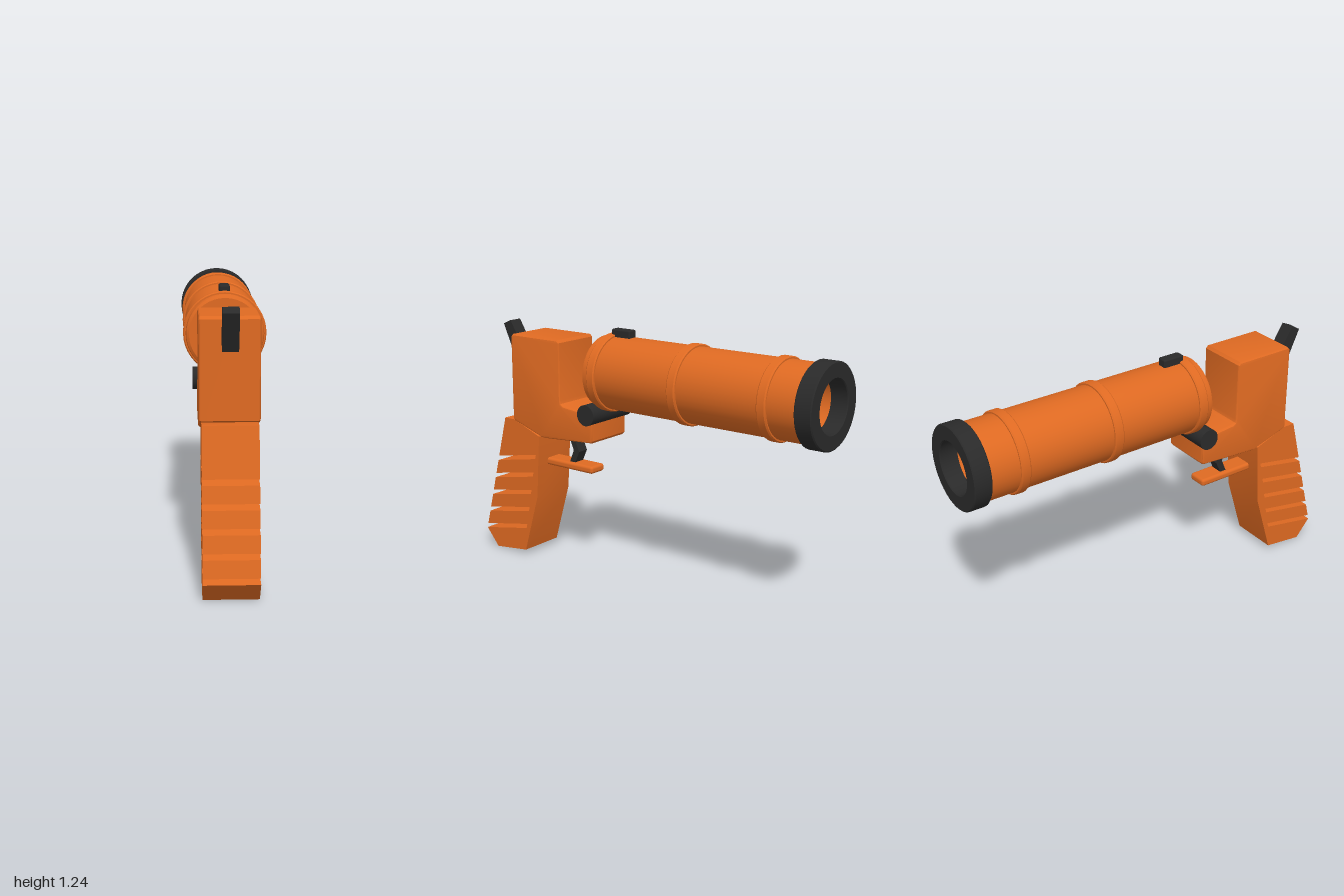
import * as THREE from 'three';
import { toCreasedNormals } from 'three/addons/utils/BufferGeometryUtils.js';
import { RoundedBoxGeometry } from 'three/addons/geometries/RoundedBoxGeometry.js';

const orange = new THREE.MeshStandardMaterial({ color: 0xdf6a22 });
orange.name = 'orange plastic';
const black = new THREE.MeshStandardMaterial({ color: 0x2a2a2a });
black.name = 'black plastic';

const BARREL_Y = 1.03;

// Side profile given as [z, y] points, extruded across x and centred
function sideExtrude(points, width, bevel = 0) {
  const shape = new THREE.Shape(points.map(([z, y]) => new THREE.Vector2(z, y)));
  const depth = width - 2 * bevel;
  const geo = new THREE.ExtrudeGeometry(shape, {
    depth, bevelEnabled: bevel > 0, bevelThickness: bevel,
    bevelSize: bevel, bevelOffset: -bevel, bevelSegments: 3,
  });
  geo.translate(0, 0, -depth / 2);
  geo.rotateY(-Math.PI / 2);
  return toCreasedNormals(geo, 0.5);
}

// Profile given as [radius, z] points, turned around the barrel axis
function turned(points) {
  const geo = new THREE.LatheGeometry(points.map(([r, z]) => new THREE.Vector2(r, z)), 40);
  geo.rotateX(Math.PI / 2);
  geo.translate(0, BARREL_Y, 0);
  return toCreasedNormals(geo, 0.5);
}

export function createModel() {
  const model = new THREE.Group();
  model.name = 'flareGun';
  const add = (name, geo, material) => {
    const mesh = new THREE.Mesh(geo, material);
    mesh.name = name;
    model.add(mesh);
    return mesh;
  };

  // Barrel: deep bore at the muzzle, shallow recess at the breech
  add('barrel', turned([
    [0, 0.2], [0.13, 0.2], [0.13, -0.95], [0.18, -0.95],
    [0.18, 0.25], [0.177, 0.262], [0.165, 0.27],
    [0.13, 0.27], [0.13, 0.25], [0, 0.25],
  ]), orange);

  // Raised bands around the barrel
  for (const z of [0.207, -0.268, -0.748]) {
    const h = 0.024;
    add('barrelBand', turned([
      [0.175, z - h], [0.187, z - h], [0.192, z - h + 0.006],
      [0.192, z + h - 0.006], [0.187, z + h], [0.175, z + h],
    ]), orange);
  }

  // Muzzle ring
  add('muzzleRing', turned([
    [0.122, -0.915], [0.122, -0.996], [0.126, -1], [0.192, -1],
    [0.197, -0.995], [0.197, -0.92], [0.192, -0.915], [0.122, -0.915],
  ]), black);

  // Sight on top of the barrel
  const sight = add('sight', new RoundedBoxGeometry(0.05, 0.06, 0.112, 2, 0.008), black);
  sight.position.set(0, 1.216, 0.15);

  // Body with a notch for the breech
  add('body', sideExtrude([
    [0.78, 0.735], [0.78, 1.162], [0.768, 1.175], [0.468, 1.175], [0.455, 1.162],
    [0.455, 0.875], [0.45, 0.859], [0.435, 0.85],
    [0.262, 0.832], [0.247, 0.82], [0.247, 0.7], [0.258, 0.687],
    [0.56, 0.666], [0.585, 0.668], [0.768, 0.726],
  ], 0.26, 0.012), orange);

  // Hinge pin through the body
  const pin = new THREE.CylinderGeometry(0.052, 0.052, 0.3, 28);
  pin.rotateZ(Math.PI / 2);
  add('hingePin', pin, black).position.set(0, 0.83, 0.272);

  // Grip with slots cut in from the back edge
  const backZ = (y) => 0.845 + (0.73 - y) * 0.256;
  const grip = [[0.61, 0.665], [0.78, 0.73], [0.845, 0.73]];
  for (let i = 0; i < 5; i++) {
    const y = 0.515 - i * 0.0985;
    const inner = [0.635, 0.655, 0.672, 0.69, 0.71][i];
    const rise = (backZ(y) - inner) * 0.19;
    grip.push(
      [backZ(y), y], [inner, y + rise],
      [inner + 0.006, y + rise - 0.024], [backZ(y - 0.025), y - 0.025],
    );
  }
  grip.push([0.93, 0.005], [0.725, 0.03], [0.632, 0.34]);
  add('grip', sideExtrude(grip, 0.24), orange);

  // Trigger and the bar below it
  add('trigger', sideExtrude([
    [0.485, 0.67], [0.452, 0.67], [0.42, 0.597],
    [0.447, 0.538], [0.482, 0.538], [0.456, 0.6],
  ], 0.06), black);
  add('triggerGuard', new RoundedBoxGeometry(0.1, 0.038, 0.32, 3, 0.014), orange)
    .position.set(0, 0.519, 0.48);

  // Hammer
  add('hammer', sideExtrude([
    [0.917, 1.203], [0.869, 1.224], [0.783, 1.085], [0.842, 1.037],
  ], 0.07), black);

  return model;
}
